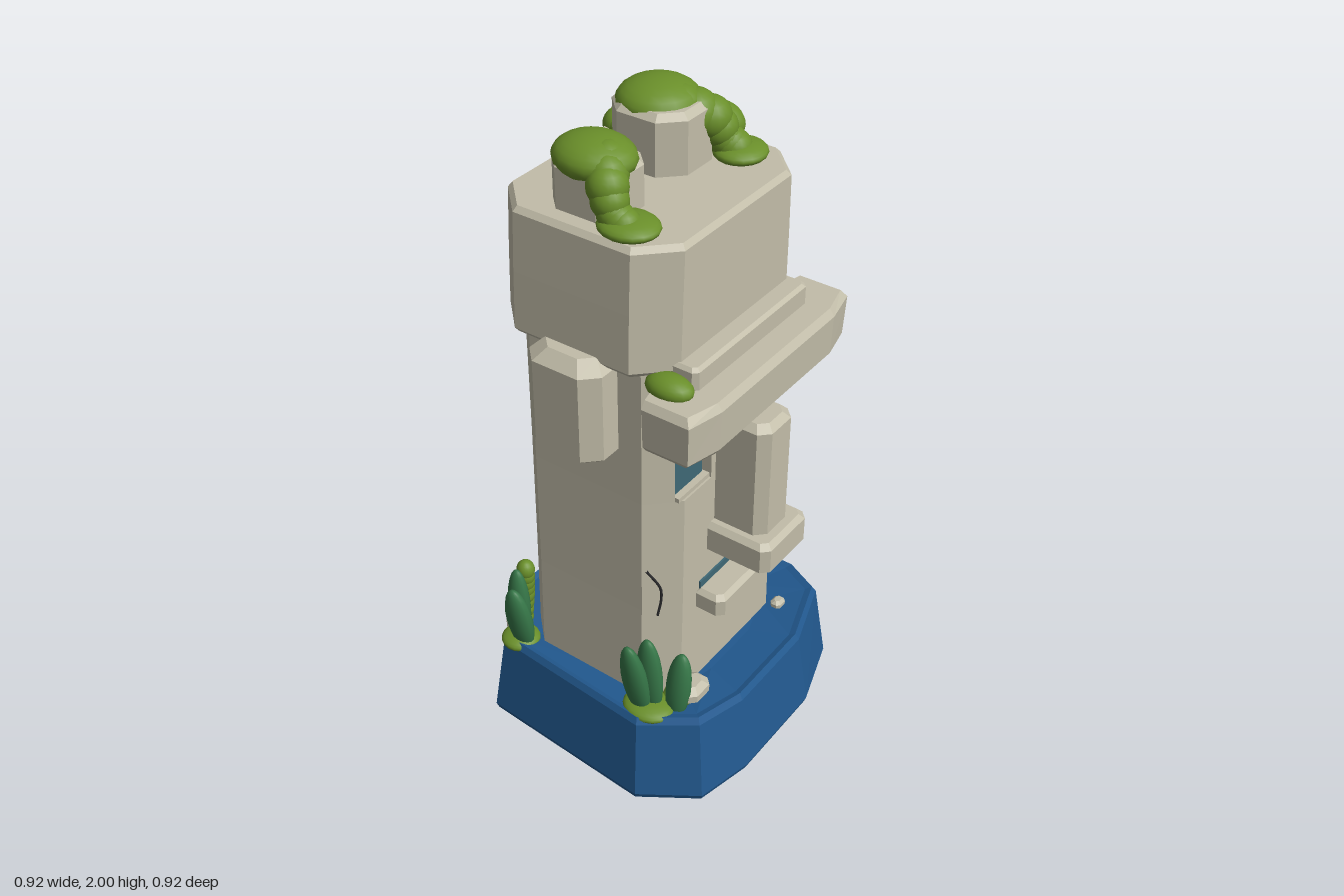
import * as THREE from 'three';

const mat = (name, color) => {
  const m = new THREE.MeshStandardMaterial({ color });
  m.name = name;
  return m;
};

export function createModel() {
  const model = new THREE.Group();
  const stone = mat('stone', 0xc2bda9);
  const blue = mat('blue rock', 0x22598f);
  const moss = mat('moss green', 0x6a8f2a);
  const leafGreen = mat('leaf green', 0x377849);
  const glass = mat('teal glass', 0x3f6876);
  const dark = mat('dark crack', 0x2a2a2c);

  const add = (name, geo, material, parent = model) => {
    const m = new THREE.Mesh(geo, material);
    m.name = name;
    parent.add(m);
    return m;
  };

  // Flat-shaded skin over rings of [x, y, z], counter-clockwise from above, bottom to top
  const loft = (rings) => {
    const v = [], n = rings[0].length;
    const tri = (...p) => p.forEach((q) => v.push(...q));
    const mid = (r) => [0, 1, 2].map((k) => r.reduce((s, p) => s + p[k], 0) / n);
    const low = rings[0], top = rings[rings.length - 1];
    for (let i = 0; i < n; i++) {
      const j = (i + 1) % n;
      for (let r = 0; r < rings.length - 1; r++) {
        const a = rings[r], b = rings[r + 1];
        tri(a[i], a[j], b[j]);
        tri(a[i], b[j], b[i]);
      }
      tri(mid(low), low[j], low[i]);
      tri(mid(top), top[i], top[j]);
    }
    const g = new THREE.BufferGeometry();
    g.setAttribute('position', new THREE.Float32BufferAttribute(v, 3));
    g.computeVertexNormals();
    return g;
  };

  // Rectangle with cut corners at height y
  const octagon = (x0, x1, z0, z1, c, y) => [
    [x1, y, z1 - c], [x1, y, z0 + c], [x1 - c, y, z0], [x0 + c, y, z0],
    [x0, y, z0 + c], [x0, y, z1 - c], [x0 + c, y, z1], [x1 - c, y, z1],
  ];

  // Block with cut corners and bevelled top and bottom
  const block = (name, x0, x1, y0, y1, z0, z1, c, b = c * 0.7, parent = model) => {
    const inner = (y) => octagon(x0 + b, x1 - b, z0 + b, z1 - b, c * 0.8, y);
    return add(name, loft([inner(y0), octagon(x0, x1, z0, z1, c, y0 + b),
      octagon(x0, x1, z0, z1, c, y1 - b), inner(y1)]), stone, parent);
  };

  // Irregular rock base with a raised, wavy rim
  const outline = [[0.455, 0.26], [0.455, -0.18], [0.42, -0.31], [0.33, -0.415], [0.12, -0.46], [-0.19, -0.46],
    [-0.42, -0.32], [-0.46, 0.25], [-0.35, 0.415], [-0.17, 0.455], [0.17, 0.455], [0.39, 0.385]];
  const baseRing = (s, yOf) => outline.map(([x, z]) => [x * s, yOf(Math.atan2(z, x)), z * s]);
  const rim = (a) => 0.286 - 0.014 * Math.cos(4 * a);
  add('rockBase', loft([
    baseRing(0.985, () => 0), baseRing(1, () => 0.02), baseRing(0.925, (a) => rim(a) - 0.02),
    baseRing(0.9, rim), baseRing(0.86, (a) => rim(a) - 0.008), baseRing(0.6, () => 0.265),
  ]), blue);

  // Tower shaft: solid above and below a band notched for the eyes
  const shaft = (y, w = 0.307) => octagon(-w, w, -0.28, 0.252, 0.083, y);
  add('lowerTower', loft([shaft(0.2, 0.317), shaft(0.6, 0.31), shaft(0.985)]), stone);
  add('upperTower', loft([shaft(1.185), shaft(1.44)]), stone);
  const eyeIn = 0.098, eyeOut = 0.243, eyeZ = 0.216;
  const half = [[0.224, -0.28], [0.307, -0.197], [0.307, 0.169], [eyeOut, 0.233],
    [eyeOut, eyeZ], [eyeIn, eyeZ], [eyeIn, 0.252]];
  const plan = [...half, ...half.map(([x, z]) => [-x, z]).reverse()];
  const band = new THREE.ExtrudeGeometry(
    new THREE.Shape(plan.map(([x, z]) => new THREE.Vector2(x, -z))), { depth: 0.2, bevelEnabled: false });
  band.rotateX(-Math.PI / 2).translate(0, 0.985, 0);
  add('eyeBand', band, stone);

  // Crown on top of the shaft
  add('crown', loft([
    octagon(-0.335, 0.33, -0.295, 0.245, 0.09, 1.415), octagon(-0.347, 0.337, -0.305, 0.255, 0.095, 1.43),
    octagon(-0.342, 0.337, -0.303, 0.255, 0.095, 1.6), octagon(-0.335, 0.334, -0.3, 0.255, 0.095, 1.77),
    octagon(-0.322, 0.32, -0.29, 0.243, 0.09, 1.785),
  ]), stone);
  block('leftBattlement', -0.005, 0.225, 1.76, 1.955, -0.187, 0.055, 0.06, 0.018);
  block('rightBattlement', -0.28, -0.095, 1.76, 1.915, -0.155, 0.06, 0.045, 0.015);

  // Face
  const browRing = (y, d) => [
    [0.382 - d, y, 0.37 - d], [0.382 - d, y, 0.225], [0.26, y, 0.2], [-0.26, y, 0.2],
    [-0.382 + d, y, 0.225], [-0.382 + d, y, 0.37 - d], [-0.27, y, 0.395 - d], [0.27, y, 0.395 - d],
  ];
  add('brow', loft([browRing(1.23, 0.02), browRing(1.25, 0.005), browRing(1.37, 0), browRing(1.392, 0.015)]), stone);
  block('browLedge', -0.267, 0.265, 1.38, 1.455, 0.22, 0.312, 0.014);
  block('nose', -0.077, 0.075, 0.76, 1.192, 0.215, 0.41, 0.03, 0.02);
  block('noseTip', -0.11, 0.11, 0.718, 0.825, 0.22, 0.45, 0.022);
  block('lowerLip', -0.16, 0.157, 0.536, 0.615, 0.23, 0.34, 0.02);
  const mouth = add('mouth', new THREE.BoxGeometry(0.22, 0.03, 0.008), glass);
  mouth.position.set(-0.037, 0.622, 0.254);

  // Eyes and ears on both sides
  for (const [side, s] of [['left', 1], ['right', -1]]) {
    const eye = add(side + 'Eye', new THREE.BoxGeometry(0.13, 0.175, 0.008), glass);
    eye.position.set(s * 0.1705, 1.087, 0.222);
    const sill = add(side + 'EyeSill', new THREE.BoxGeometry(0.145, 0.014, 0.03), stone);
    sill.position.set(s * 0.1705, 0.992, 0.231);
    const [x0, x1] = s > 0 ? [0.25, 0.413] : [-0.415, -0.25];
    block(side + 'Ear', x0, x1, 1.108, 1.442, -0.144, 0.094, 0.045, 0.035);
  }

  // Crack on the front right corner
  const crack = new THREE.CatmullRomCurve3([[-0.303, 0.75, 0.18], [-0.274, 0.68, 0.208],
    [-0.272, 0.64, 0.21], [-0.28, 0.58, 0.203]].map((p) => new THREE.Vector3(...p)));
  add('crack', new THREE.TubeGeometry(crack, 12, 0.004, 5), dark);

  // Moss: overlapping blobs along a path of [x, y, z, radius]
  const blob = new THREE.SphereGeometry(1, 18, 12);
  const mossTrail = (name, pts, steps = 7, flat = 1) => {
    const g = new THREE.Group();
    g.name = name;
    const path = new THREE.CatmullRomCurve3(pts.map((p) => new THREE.Vector3(p[0], p[1], p[2])));
    for (let i = 0; i < steps; i++) {
      const t = i / (steps - 1), u = t * (pts.length - 1), k = Math.min(Math.floor(u), pts.length - 2);
      const r = THREE.MathUtils.lerp(pts[k][3], pts[k + 1][3], u - k);
      const b = add('mossBlob', blob, moss, g);
      b.position.copy(path.getPoint(t));
      b.scale.set(r, r * flat, r);
    }
    model.add(g);
  };
  const mossCap = (name, x, y, z, rx, ry, rz) => {
    const m = add(name, blob, moss);
    m.position.set(x, y, z);
    m.scale.set(rx, ry, rz);
  };
  mossCap('leftBattlementMoss', 0.115, 1.94, -0.08, 0.115, 0.06, 0.115);
  mossTrail('leftMossTrail', [[0.13, 1.92, -0.03, 0.07], [0.19, 1.89, 0.03, 0.06], [0.215, 1.83, 0.06, 0.05],
    [0.225, 1.805, 0.085, 0.05]]);
  mossCap('leftMossFoot', 0.232, 1.797, 0.1, 0.077, 0.028, 0.075);
  mossCap('leftMossClump', 0.278, 1.832, 0, 0.06, 0.06, 0.075);
  mossCap('rightBattlementMoss', -0.195, 1.915, -0.05, 0.1, 0.058, 0.115);
  mossTrail('rightMossTrail', [[-0.2, 1.91, -0.01, 0.06], [-0.25, 1.88, 0.03, 0.055], [-0.265, 1.82, 0.06, 0.045],
    [-0.265, 1.8, 0.09, 0.045]]);
  mossCap('rightMossFoot', -0.258, 1.797, 0.1, 0.075, 0.028, 0.085);
  mossCap('backMossCap', 0.24, 1.785, -0.235, 0.097, 0.05, 0.095);
  mossTrail('backMossTrail', [[0.26, 1.78, -0.24, 0.06], [0.275, 1.72, -0.27, 0.06], [0.265, 1.64, -0.28, 0.05]]);
  mossTrail('backMossDrip', [[0.2, 1.78, -0.27, 0.05], [0.21, 1.7, -0.29, 0.035]], 4);
  mossCap('browMoss', -0.295, 1.4, 0.25, 0.047, 0.036, 0.07);
  mossTrail('mouthMoss', [[0.09, 0.71, 0.26, 0.03], [0.105, 0.65, 0.28, 0.038], [0.1, 0.6, 0.315, 0.034]], 6);
  mossTrail('backRightStem', [[-0.3, 0.29, -0.285, 0.025], [-0.3, 0.42, -0.28, 0.032],
    [-0.3, 0.52, -0.27, 0.028]], 9, 1.2);

  // Leaf clumps: pointed leaves from base to tip
  const leafGeo = new THREE.SphereGeometry(1, 14, 12);
  const leaf = (name, base, tip, w, d = w) => {
    const a = new THREE.Vector3(...base), dir = new THREE.Vector3(...tip).sub(a);
    const m = add(name, leafGeo, leafGreen);
    m.position.copy(a).addScaledVector(dir, 0.5);
    m.scale.set(d, dir.length() / 2, w);
    m.quaternion.setFromUnitVectors(new THREE.Vector3(0, 1, 0), dir.normalize());
  };
  leaf('backLeftLeaf', [0.34, 0.24, -0.155], [0.447, 0.66, -0.175], 0.047, 0.03);
  leaf('backLeftLeaf', [0.35, 0.24, -0.235], [0.415, 0.62, -0.268], 0.045, 0.032);
  leaf('backLeftLeaf', [0.315, 0.24, -0.255], [0.385, 0.64, -0.285], 0.04, 0.03);
  leaf('frontRightLeaf', [-0.35, 0.24, 0.2], [-0.408, 0.545, 0.19], 0.042, 0.03);
  leaf('frontRightLeaf', [-0.33, 0.24, 0.22], [-0.347, 0.54, 0.215], 0.042, 0.03);
  leaf('frontRightLeaf', [-0.31, 0.24, 0.285], [-0.285, 0.48, 0.295], 0.04, 0.03);
  leaf('backRightLeaf', [-0.34, 0.24, -0.25], [-0.38, 0.5, -0.255], 0.045, 0.032);
  leaf('backRightLeaf', [-0.33, 0.24, -0.275], [-0.335, 0.54, -0.275], 0.038, 0.03);

  // Moss pads under the leaves
  mossCap('backLeftPad', 0.35, 0.3, -0.15, 0.065, 0.026, 0.1);
  mossCap('backLeftPad', 0.345, 0.28, -0.25, 0.07, 0.032, 0.07);
  mossCap('frontRightPad', -0.35, 0.285, 0.22, 0.065, 0.024, 0.08);
  mossCap('frontRightPad', -0.25, 0.29, 0.27, 0.07, 0.022, 0.05);
  mossCap('backRightPad', -0.345, 0.28, -0.265, 0.06, 0.025, 0.06);

  // Loose stones on the base
  for (const [x, y, z, w, h] of [[-0.25, 0.325, 0.305, 0.1, 0.06], [0.21, 0.295, -0.325, 0.05, 0.04],
    [-0.315, 0.295, -0.315, 0.05, 0.04], [0.24, 0.285, 0.29, 0.045, 0.03]]) {
    block('looseStone', x - w / 2, x + w / 2, y - h / 2, y + h / 2, z - w * 0.4, z + w * 0.4, w * 0.2, h * 0.3);
  }
  return model;
}
